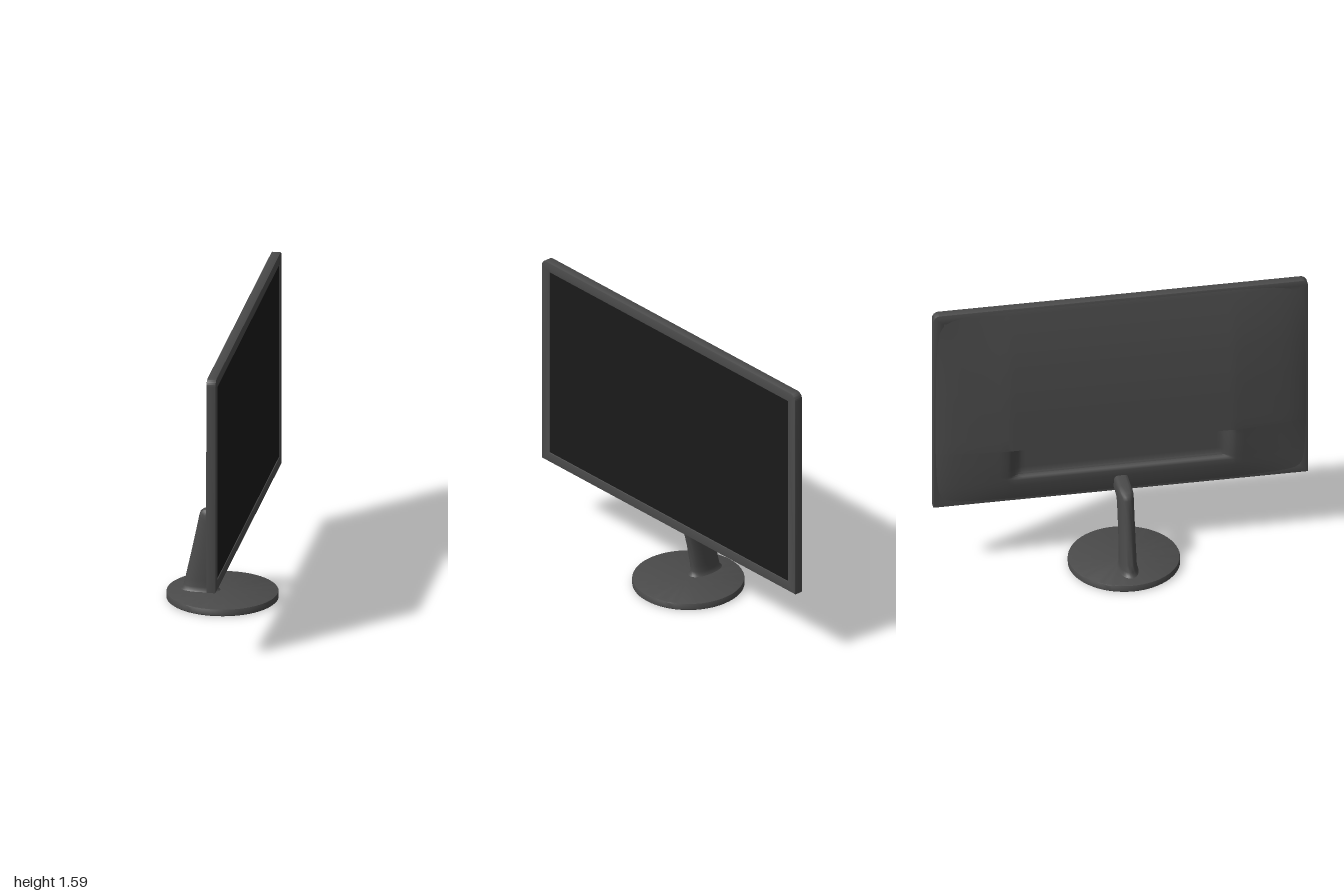
import * as THREE from 'three';
import { toCreasedNormals } from 'three/addons/utils/BufferGeometryUtils.js';

const BOTTOM = 0.395, TOP = 1.585, HALF = 1, CORNER = 0.035;

// Piecewise-linear lookup through [input, output] pairs
function lookup(points, v) {
  if (v <= points[0][0]) return points[0][1];
  for (let i = 1; i < points.length; i++) {
    const [a, p] = points[i - 1], [b, q] = points[i];
    if (v <= b) return p + (q - p) * (v - a) / (b - a);
  }
  return points[points.length - 1][1];
}

// Indexed grid of rows x cols points, both directions open
function gridGeometry(rows, cols, point) {
  const pos = [], index = [];
  for (let i = 0; i < rows; i++) {
    for (let j = 0; j < cols; j++) {
      pos.push(...point(i, j));
      if (i && j) {
        const d = i * cols + j, c = d - 1, b = d - cols, a = b - 1;
        index.push(a, b, c, b, d, c);
      }
    }
  }
  const g = new THREE.BufferGeometry();
  g.setAttribute('position', new THREE.Float32BufferAttribute(pos, 3));
  g.setIndex(index);
  return g;
}

// Front frame: rounded top corners, square bottom, opening for the screen
function bezelGeometry() {
  const s = new THREE.Shape();
  s.moveTo(-HALF, BOTTOM);
  s.lineTo(HALF, BOTTOM);
  s.lineTo(HALF, TOP - CORNER);
  s.absarc(HALF - CORNER, TOP - CORNER, CORNER, 0, Math.PI / 2);
  s.lineTo(-HALF + CORNER, TOP);
  s.absarc(-HALF + CORNER, TOP - CORNER, CORNER, Math.PI / 2, Math.PI);
  s.closePath();
  const h = new THREE.Path();
  h.moveTo(-0.94, 0.45);
  h.lineTo(-0.94, 1.528);
  h.lineTo(0.94, 1.528);
  h.lineTo(0.94, 0.45);
  h.closePath();
  s.holes.push(h);
  const b = 0.004;
  const g = new THREE.ExtrudeGeometry(s, {
    depth: 0.05 - 2 * b, bevelThickness: b, bevelSize: b, bevelOffset: -b,
    bevelSegments: 2, curveSegments: 10,
  });
  g.rotateY(Math.PI / 2).translate(0.09 + b, 0, 0);
  return toCreasedNormals(g, 0.6);
}

// Bulging rear cover with a sunken connector bay
function backGeometry() {
  const bulgeY = [[0.395, 0], [0.45, 0.3], [0.5, 0.48], [0.6, 0.73], [0.735, 1], [1.05, 1],
    [1.2, 0.88], [1.3, 0.75], [1.4, 0.55], [1.5, 0.3], [1.56, 0.12], [TOP, 0]];
  const bulgeZ = [[0.6, 1], [0.7, 0.83], [0.8, 0.65], [0.9, 0.44], [0.95, 0.27], [0.98, 0.12], [1, 0]];
  const ys = [0.395, 0.42, 0.45, 0.5, 0.535, 0.542, 0.55, 0.56, 0.57, 0.6, 0.65, 0.7, 0.728, 0.732, 0.8,
    0.9, 1.05, 1.1, 1.2, 1.25, 1.3, 1.35, 1.4, 1.45, 1.5, 1.53, TOP - CORNER, 1.56, 1.57, 1.578, 1.583, TOP];
  const half = [0, 0.2, 0.4, 0.51, 0.53, 0.55, 0.57, 0.59, 0.61, 0.65, 0.7, 0.75, 0.8, 0.85, 0.9, 0.95, 0.98, 1];
  const zs = [...half.slice(1).reverse().map(z => -z), ...half];
  const g = gridGeometry(ys.length, zs.length, (i, j) => {
    const y = ys[i], z = zs[j], az = Math.abs(z);
    const surface = 0.094 - 0.054 * lookup(bulgeY, y) * lookup(bulgeZ, az);
    const t = THREE.MathUtils.clamp(
      Math.min((0.61 - az) / 0.08, (y - 0.535) / 0.035, (0.732 - y) / 0.004), 0, 1);
    const x = surface + (0.086 - surface) * THREE.MathUtils.smoothstep(t, 0, 1);
    const c = Math.max(0, y - (TOP - CORNER));
    const width = HALF - CORNER + Math.sqrt(Math.max(0, CORNER * CORNER - c * c));
    return [x, y, z * width];
  });
  return toCreasedNormals(g, 0.7);
}

// Leaning arm: each section is [back x, back y, front x, front y, half width, squareness]
function armGeometry() {
  const sections = [
    [-0.228, 0.038, -0.008, 0.038, 0.054, 2.2],
    [-0.214, 0.047, -0.02, 0.047, 0.048, 2.2],
    [-0.207, 0.065, -0.025, 0.065, 0.045, 2.2],
    [-0.198, 0.1, -0.022, 0.1, 0.044, 2.2],
    [-0.165, 0.25, 0, 0.22, 0.042, 2.3],
    [-0.14, 0.37, 0.021, 0.31, 0.041, 2.5],
    [-0.123, 0.455, 0.036, 0.36, 0.04, 2.8],
    [-0.116, 0.478, 0.043, 0.377, 0.04, 3],
    [-0.098, 0.491, 0.052, 0.39, 0.04, 3.4],
    [-0.03, 0.497, 0.068, 0.398, 0.04, 4],
    [0.1, 0.5, 0.105, 0.4, 0.04, 4],
  ];
  const around = 32;
  const round = (v, p) => Math.sign(v) * Math.abs(v) ** (2 / p);
  const g = gridGeometry(sections.length, around + 1, (i, j) => {
    const [bx, by, fx, fy, w, p] = sections[i];
    const a = -2 * Math.PI * (j % around) / around;
    const k = (1 + round(Math.cos(a), p)) / 2;
    return [bx + (fx - bx) * k, by + (fy - by) * k, w * round(Math.sin(a), p)];
  });
  return toCreasedNormals(g, 0.8);
}

// Round foot with softened rims
function baseGeometry() {
  const profile = [[0, 0], [0.289, 0], [0.295, 0.005], [0.295, 0.034], [0.293, 0.038], [0.288, 0.04], [0, 0.04]];
  const g = new THREE.LatheGeometry(profile.map(([x, y]) => new THREE.Vector2(x, y)), 64);
  return toCreasedNormals(g, 0.6);
}

export function createModel() {
  const group = new THREE.Group();
  const casing = new THREE.MeshStandardMaterial({ color: 0x4a4a4a, side: THREE.DoubleSide });
  const glass = new THREE.MeshStandardMaterial({ color: 0x1a1a1a });
  const add = (name, geometry, material = casing) => {
    const mesh = new THREE.Mesh(geometry, material);
    mesh.name = name;
    group.add(mesh);
    return mesh;
  };
  add('base', baseGeometry());
  add('standArm', armGeometry());
  add('bezel', bezelGeometry());
  add('backCover', backGeometry());
  // Screen panel sits just behind the front of the frame
  add('screen', new THREE.BoxGeometry(0.03, 1.084, 1.886), glass).position.set(0.12, 0.989, 0);
  return group;
}
